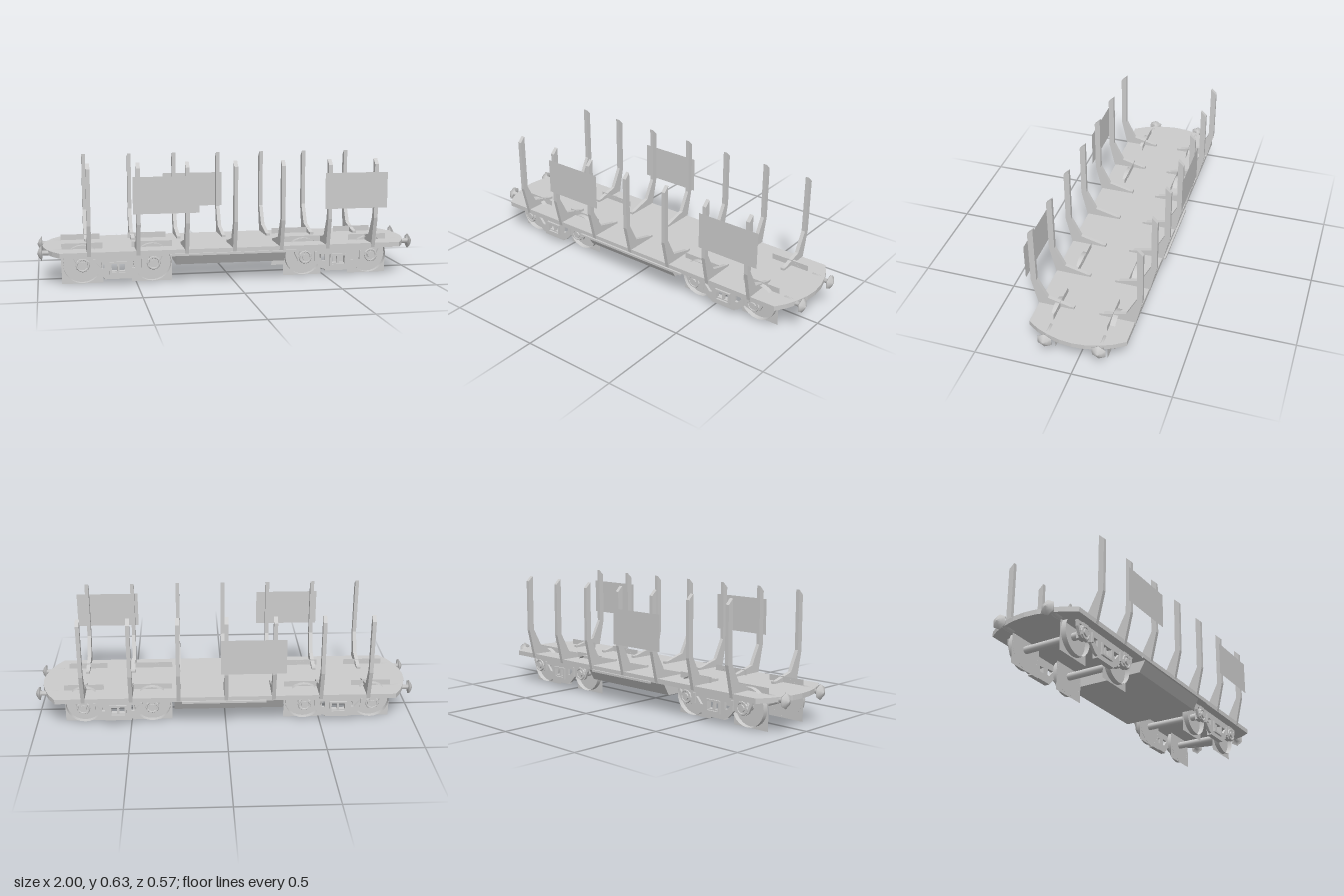
import * as THREE from 'three';

const flat = new THREE.MeshStandardMaterial({ color: 0xcccccc, flatShading: true });
const smooth = new THREE.MeshStandardMaterial({ color: 0xcccccc });
const thin = new THREE.MeshStandardMaterial({ color: 0xcccccc, side: THREE.DoubleSide });

function add(parent, name, geometry, material = flat) {
  const mesh = new THREE.Mesh(geometry, material);
  mesh.name = name;
  parent.add(mesh);
  return mesh;
}

function box(parent, name, w, h, d, x, y, z) {
  return add(parent, name, new THREE.BoxGeometry(w, h, d).translate(x, y, z));
}

const polygon = (points) => new THREE.Shape(points.map(([x, y]) => new THREE.Vector2(x, y)));

const extrude = (shape, depth) =>
  new THREE.ExtrudeGeometry(shape, { depth, bevelEnabled: false, curveSegments: 10 });

// Profile given as [z, y], swept along x and centred on x = 0
function crossSection(points, length) {
  return extrude(polygon(points), length).rotateY(-Math.PI / 2).translate(length / 2, 0, 0);
}

// Runs a builder twice, the second copy turned half a circle about y
function bothSides(parent, name, build) {
  for (const turn of [0, Math.PI]) {
    const side = new THREE.Group();
    side.name = name;
    side.rotation.y = turn;
    build(side);
    parent.add(side);
  }
}

function createDeck(model) {
  const half = [[0.89, -0.245], [0.925, -0.19], [0.95, -0.13], [0.967, -0.065], [0.973, 0],
    [0.967, 0.065], [0.95, 0.13], [0.925, 0.19], [0.89, 0.245]];
  const outline = [...half, ...half.map(([x, z]) => [-x, -z])];
  add(model, 'deck', extrude(polygon(outline), 0.025).rotateX(Math.PI / 2).translate(0, 0.18, 0));

  // Underframe with sloping flanks, and a slim rail on each long edge
  const belly = add(model, 'underframe',
    crossSection([[-0.208, 0.096], [0.208, 0.096], [0.242, 0.156], [-0.242, 0.156]], 0.57));
  belly.position.x = -0.015;
  box(model, 'frontRail', 0.68, 0.011, 0.01, 0, 0.154, 0.25);
  box(model, 'backRail', 0.44, 0.011, 0.01, 0.01, 0.154, -0.25);
}

function createStakes(model) {
  const profile = [[0.245, 0.158], [0.282, 0.32], [0.282, 0.602], [0.253, 0.63], [0.253, 0.325],
    [0.2, 0.222], [0.085, 0.192], [0.065, 0.192], [0.065, 0.178], [0.238, 0.178]];
  const geometry = crossSection(profile, 0.02);
  for (let i = -3; i <= 3; i++) {
    bothSides(model, 'stake', (side) => add(side, 'stakePost', geometry));
    model.children.slice(-2).forEach((side) => { side.position.x = i * 0.248; });
  }
}

function createBoards(model) {
  for (const [x, y, z] of [[-0.357, 0.467, 0.283], [0.636, 0.467, 0.283], [-0.14, 0.42, -0.283]]) {
    add(model, 'signBoard', new THREE.PlaneGeometry(0.335, 0.187), thin).position.set(x, y, z);
  }
}

function createBuffers(model) {
  bothSides(model, 'bufferPair', (side) => {
    for (const z of [-0.135, 0.135]) {
      const profile = [[0, 0.88], [0.019, 0.88], [0.019, 0.93], [0.013, 0.93], [0.013, 0.974],
        [0.039, 0.976], [0.039, 0.979], [0.02, 0.992], [0, 1]];
      const geometry = new THREE.LatheGeometry(profile.map(([r, h]) => new THREE.Vector2(r, h)), 6);
      geometry.rotateZ(-Math.PI / 2).rotateX(Math.PI / 2);
      add(side, 'buffer', geometry, smooth).position.set(0, 0.165, z);
    }
  });
}

// Pierced side plate with axle boxes and a central spring nest
function createSideFrame(side) {
  const plate = polygon([[-0.24, 0.155], [-0.235, 0.125], [-0.215, 0.085], [-0.2, 0.076], [-0.15, 0.076],
    [-0.13, 0.085], [-0.09, 0.045], [-0.06, 0.035], [0.06, 0.035], [0.09, 0.045], [0.13, 0.085],
    [0.15, 0.076], [0.2, 0.076], [0.215, 0.085], [0.235, 0.125], [0.24, 0.155]]);
  for (const s of [-1, 1]) {
    for (const hole of [
      [[0.07, 0.12], [0.115, 0.12], [0.085, 0.085], [0.07, 0.085]],
      [[0.006, 0.065], [0.034, 0.065], [0.034, 0.11], [0.006, 0.11]],
      [[0.205, 0.14], [0.225, 0.14], [0.215, 0.118]],
    ]) plate.holes.push(polygon(hole.map(([x, y]) => [s * x, y])));
  }
  add(side, 'sidePlate', extrude(plate, 0.014).translate(0, 0, 0.186));

  for (const s of [-1, 1]) {
    box(side, 'axleBox', 0.045, 0.075, 0.036, s * 0.18, 0.118, 0.186);
    const ring = new THREE.TorusGeometry(0.03, 0.006, 6, 12).translate(s * 0.18, 0.108, 0.202);
    add(side, 'axleBoxRing', ring);
    const cap = new THREE.CylinderGeometry(0.018, 0.018, 0.014, 10).rotateX(Math.PI / 2);
    add(side, 'axleCap', cap.translate(s * 0.18, 0.108, 0.205));
    box(side, 'springPost', 0.01, 0.055, 0.014, s * 0.04, 0.087, 0.203);
    box(side, 'brakeHanger', 0.012, 0.05, 0.012, s * 0.122, 0.11, 0.203);
  }
  for (const y of [0.06, 0.115]) box(side, 'springSeat', 0.09, 0.01, 0.014, 0, y, 0.203);
  box(side, 'lowerBeam', 0.14, 0.04, 0.028, 0, 0.051, 0.186);
}

// Axle with two rims, each backed by a square wheel panel
function createWheelset(bogie, x) {
  const set = new THREE.Group();
  set.name = 'wheelset';
  set.position.set(x, 0.105, 0);
  const axle = new THREE.CylinderGeometry(0.019, 0.019, 0.34, 12).rotateX(Math.PI / 2);
  add(set, 'axle', axle, smooth);
  for (const s of [-1, 1]) {
    const rim = new THREE.CylinderGeometry(0.098, 0.098, 0.027, 24, 1, true).rotateX(Math.PI / 2);
    add(set, 'wheelRim', rim, thin).position.z = s * 0.148;
    add(set, 'wheelPanel', new THREE.PlaneGeometry(0.209, 0.21), thin).position.z = s * 0.135;
  }
  bogie.add(set);
}

function createBogie(model, x) {
  const bogie = new THREE.Group();
  bogie.name = 'bogie';
  bogie.position.x = x;
  bothSides(bogie, 'sideFrame', createSideFrame);
  for (const s of [-1, 1]) createWheelset(bogie, s * 0.179);
  model.add(bogie);
}

export function createModel() {
  const model = new THREE.Group();
  model.name = 'stakeWagon';
  createDeck(model);
  createStakes(model);
  createBoards(model);
  createBuffers(model);
  for (const x of [-0.595, 0.567]) createBogie(model, x);
  return model;
}
